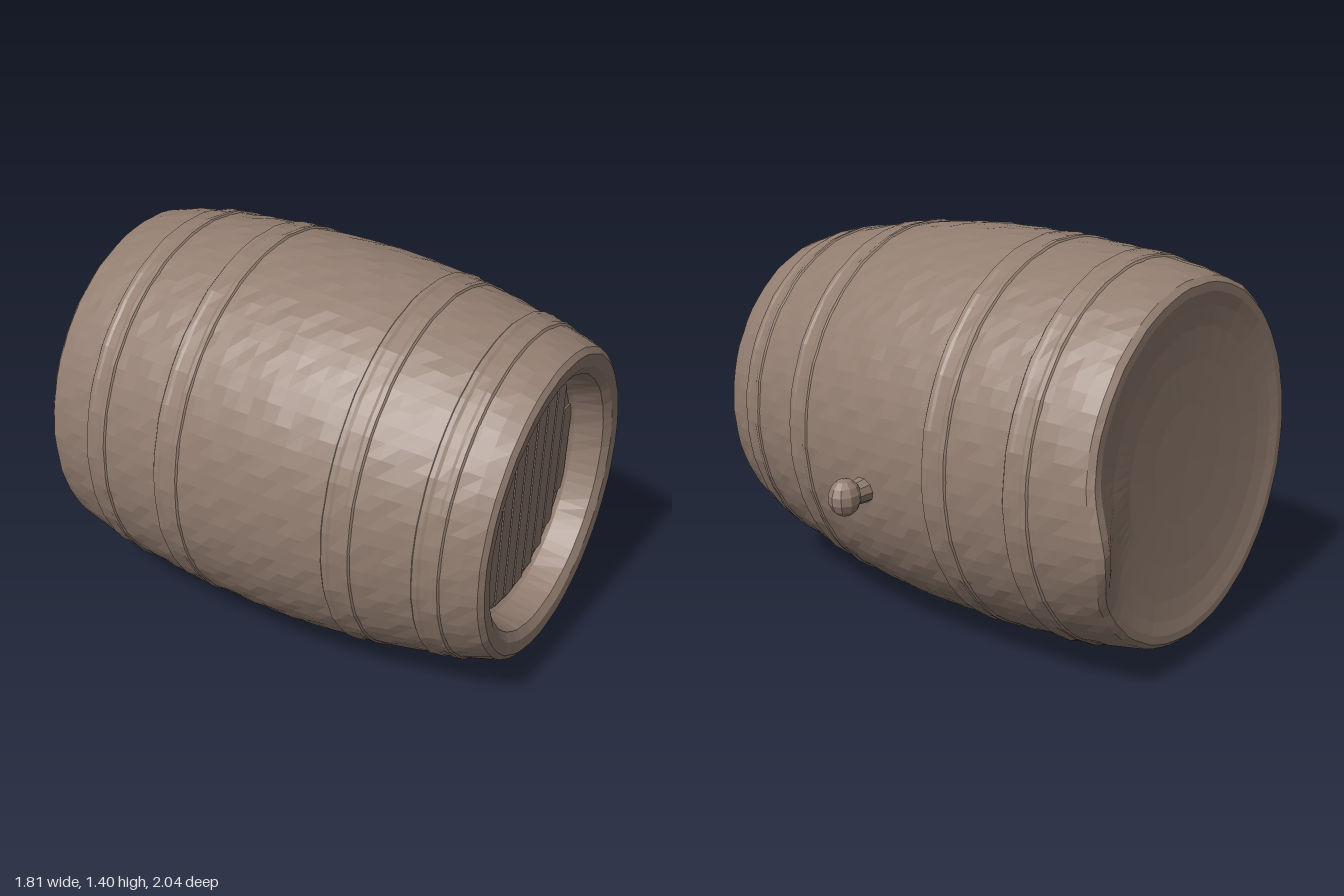
import * as THREE from 'three';

const wood = new THREE.MeshStandardMaterial({ color: 0x927d70, flatShading: true });
wood.name = 'weathered wood';

const SIDES = 72;
const FLATTEN = 0.943; // the barrel is a little narrower than it is tall

// Outer radius along the barrel axis (back to front)
const outline = [[-0.8, 0.62], [-0.7, 0.645], [-0.55, 0.667], [-0.35, 0.684], [-0.1, 0.692], [0.1, 0.691],
  [0.3, 0.673], [0.5, 0.642], [0.7, 0.6], [0.81, 0.57], [0.875, 0.545]];

function radiusAt(s) {
  for (let i = 1; i < outline.length; i++) {
    const [s0, r0] = outline[i - 1], [s1, r1] = outline[i];
    if (s <= s1) return r0 + (r1 - r0) * (s - s0) / (s1 - s0);
  }
  return outline[outline.length - 1][1];
}

// Lathe around the z axis from [radius, z] points, with slightly uneven stave surfaces
function turned(name, points, rough) {
  const geo = new THREE.LatheGeometry(points.map(([r, s]) => new THREE.Vector2(r, s)), SIDES);
  geo.rotateX(Math.PI / 2);
  const p = geo.attributes.position;
  for (let i = 0; i < p.count; i++) {
    const x = p.getX(i), y = p.getY(i), z = p.getZ(i);
    const a = Math.atan2(y, x);
    const k = 1 + rough * Math.sin(a * 24 + 1.3) * Math.cos(z * 37 + a * 5);
    // Worn swelling that pushes one side of the back rim outwards
    const swell = Math.exp(-(((y + 0.1) / 0.17) ** 2) - ((x - 0.58) / 0.09) ** 2 - ((z + 0.8) / 0.09) ** 2);
    p.setXYZ(i, x * k * FLATTEN + 0.01 * swell, y * k, z - 0.055 * swell);
  }
  geo.computeVertexNormals();
  const mesh = new THREE.Mesh(geo, wood);
  mesh.name = name;
  return mesh;
}

export function createModel() {
  const model = new THREE.Group();
  model.name = 'barrel';
  const barrel = new THREE.Group();
  barrel.name = 'lyingBarrel';

  // Body: dished back head, bulging staves, rim and recessed front
  const staves = [];
  for (let i = 0; i <= 32; i++) {
    const s = -0.785 + (0.86 + 0.785) * i / 32;
    staves.push([radiusAt(s), s]);
  }
  barrel.add(turned('body', [
    [0, -0.77], [0.2, -0.772], [0.35, -0.777], [0.46, -0.784], [0.53, -0.793], [0.575, -0.803], [0.605, -0.803],
    ...staves,
    [0.53, 0.874], [0.485, 0.87], [0.455, 0.85], [0.435, 0.75], [0.425, 0.735], [0, 0.735],
  ], 0.004));

  // Hoops: faint bands with a low ridge along each edge
  for (const [from, to] of [[-0.6, -0.52], [-0.29, -0.2], [0.36, 0.45], [0.66, 0.74]]) {
    const at = (s, lift) => [radiusAt(s) + lift, s];
    barrel.add(turned('hoop', [
      at(from - 0.01, -0.006), at(from, 0.006), at(from + 0.015, 0.006), at(from + 0.025, 0.002),
      at(to - 0.025, 0.002), at(to - 0.015, 0.006), at(to, 0.006), at(to + 0.01, -0.006),
    ], 0.004));
  }

  // Front head planks: very shallow vertical boards
  const boards = 11, R = 0.415;
  for (let i = 0; i < boards; i++) {
    const w = 2 * R * FLATTEN / boards;
    const x = (i + 0.5 - boards / 2) * w;
    const h = 2 * Math.sqrt(R * R - (x / FLATTEN) ** 2);
    const board = new THREE.Mesh(new THREE.BoxGeometry(w * 0.86, h, 0.01), wood);
    board.position.set(x, 0, 0.735);
    board.name = 'frontPlank';
    barrel.add(board);
  }

  // Bung on the side: stout neck and faceted knob
  const bung = new THREE.Group();
  bung.name = 'bung';
  const neck = new THREE.Mesh(new THREE.CylinderGeometry(0.036, 0.05, 0.12, 10), wood);
  neck.rotation.z = -Math.PI / 2;
  neck.position.x = -0.065;
  neck.name = 'bungNeck';
  const knob = new THREE.Mesh(new THREE.SphereGeometry(0.056, 10, 7), wood);
  knob.scale.set(1.05, 1.15, 0.95);
  knob.name = 'bungKnob';
  bung.add(neck, knob);
  bung.position.set(0.73, -0.085, 0.075);
  barrel.add(bung);

  // Lie on its side, turned towards the front left, nose slightly low
  barrel.rotation.order = 'YXZ';
  barrel.rotation.set(0.024, 0.556, 0);
  barrel.position.set(0.008, 0.696, -0.003);
  model.add(barrel);
  return model;
}
